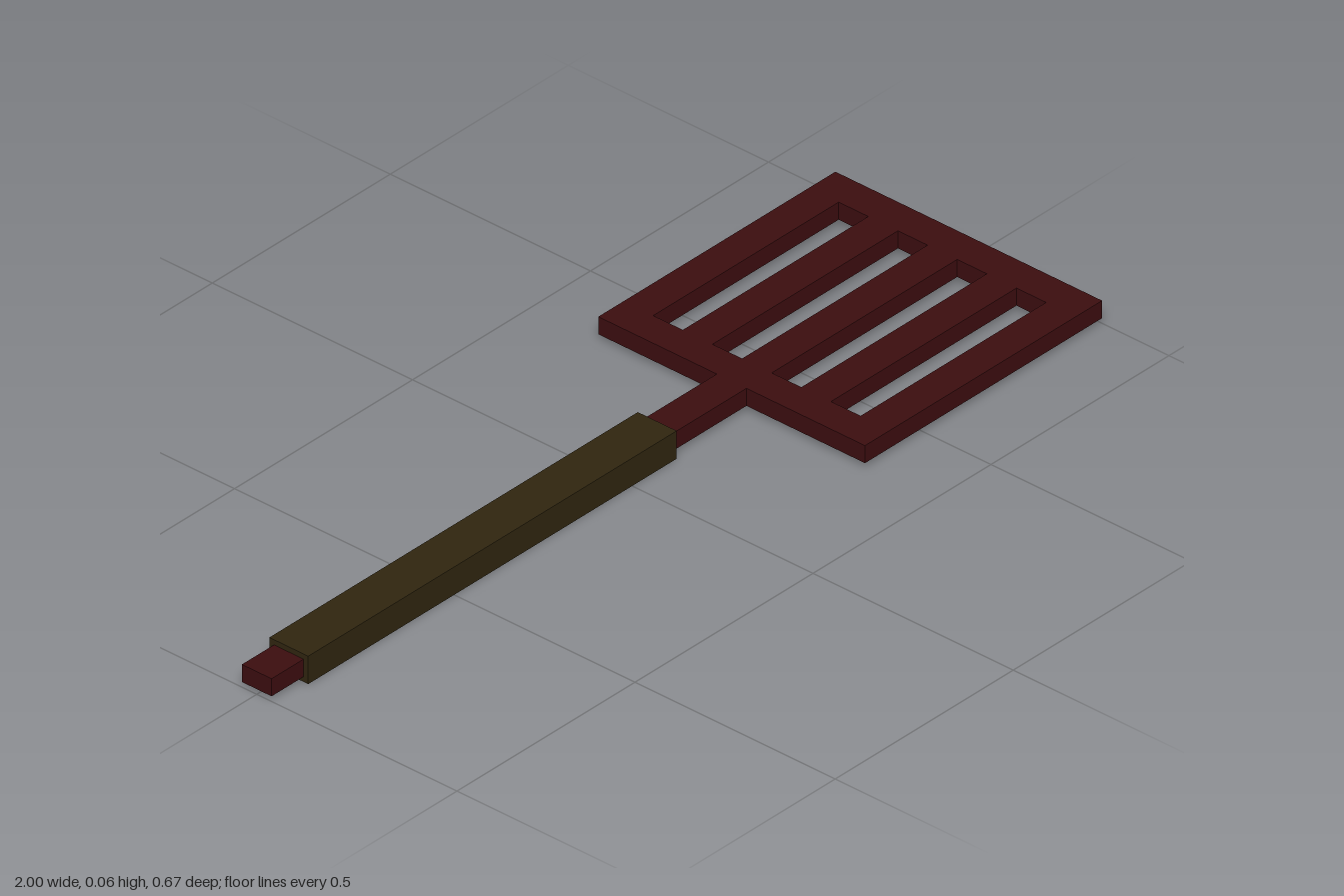
import * as THREE from 'three';

export function createModel() {
  const model = new THREE.Group();
  model.name = 'spatula';

  const metal = new THREE.MeshStandardMaterial({ color: 0x3b0d0f });
  metal.name = 'dark red metal';
  const grip = new THREE.MeshStandardMaterial({ color: 0x2f250f });
  grip.name = 'dark olive grip';

  const midY = 0.031;      // centre height shared by all parts
  const thickness = 0.039; // metal thickness
  const half = 0.333;      // half width of the square head
  const barHalf = 0.037;   // half width of one bar
  const pitch = 0.148;     // spacing between bars

  // Box spanning x0..x1, centred on z = 0
  function bar(name, x0, x1, height, depth, material) {
    const mesh = new THREE.Mesh(new THREE.BoxGeometry(x1 - x0, height, depth), material);
    mesh.position.set((x0 + x1) / 2, midY, 0);
    mesh.name = name;
    model.add(mesh);
  }

  // Rectangular outline for the head and its slots
  function rectangle(path, x0, x1, y0, y1) {
    path.moveTo(x0, y0);
    path.lineTo(x1, y0);
    path.lineTo(x1, y1);
    path.lineTo(x0, y1);
    path.closePath();
    return path;
  }

  // Shaft runs through the grip and meets the head
  bar('shaft', -1, 0.334, thickness, 2 * barHalf, metal);
  bar('handleGrip', -0.91, 0.125, 0.062, 0.097, grip);

  // Slotted head: square plate with four long slots
  const outline = rectangle(new THREE.Shape(), 0.334, 1, -half, half);
  for (let i = -2; i < 2; i++) {
    outline.holes.push(rectangle(new THREE.Path(), 0.405, 0.926,
      i * pitch + barHalf, (i + 1) * pitch - barHalf));
  }
  const plate = new THREE.ExtrudeGeometry(outline, { depth: thickness, bevelEnabled: false });
  plate.rotateX(-Math.PI / 2);
  const head = new THREE.Mesh(plate, metal);
  head.position.y = midY - thickness / 2;
  head.name = 'slottedHead';
  model.add(head);

  return model;
}
